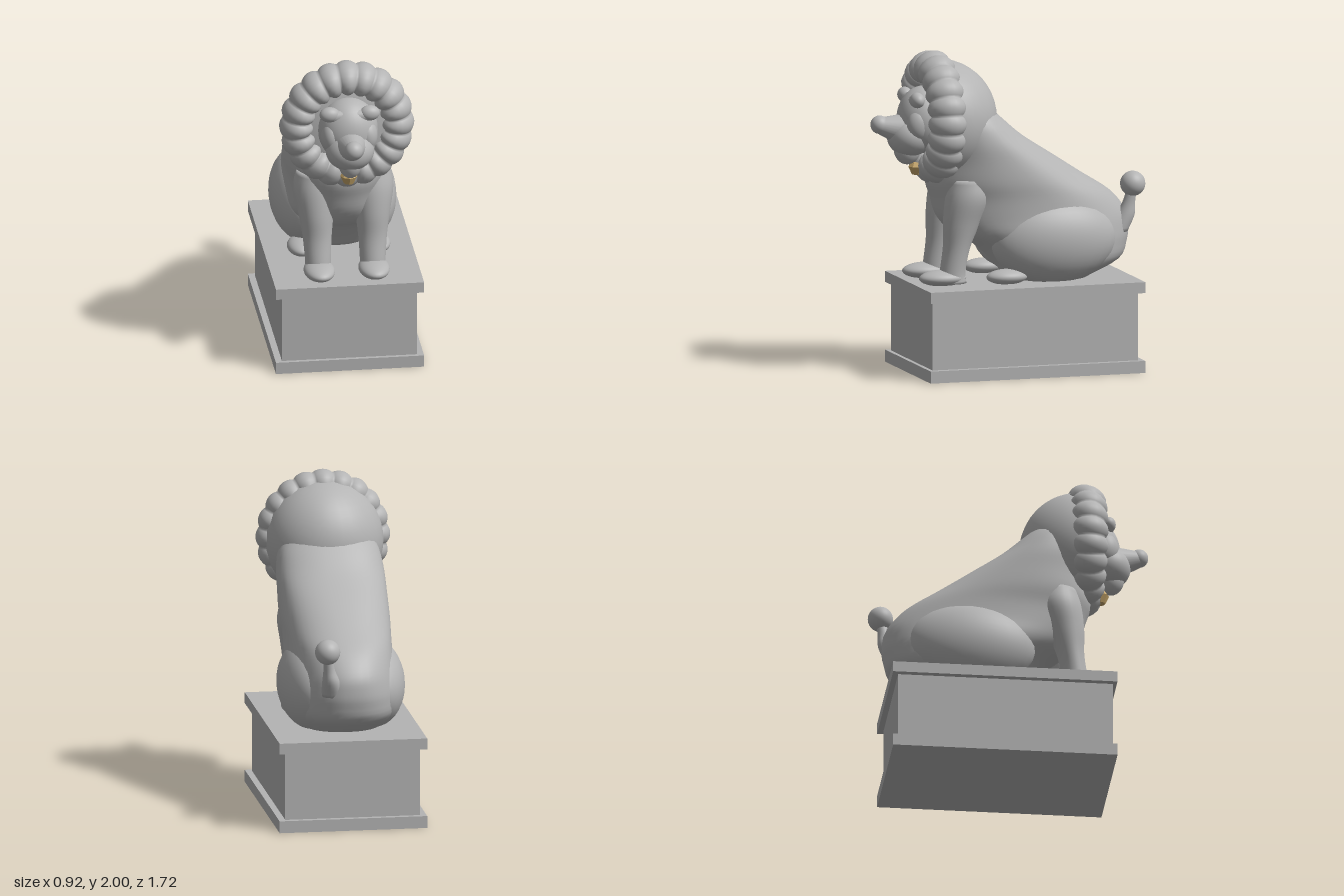
import * as THREE from 'three';

const stone = new THREE.MeshStandardMaterial({ color: 0xb4b4b4 });
stone.name = 'stone grey';
const gold = new THREE.MeshStandardMaterial({ color: 0xc8a86c });
gold.name = 'bell gold';

function add(parent, name, geometry, x = 0, y = 0, z = 0, material = stone) {
  const mesh = new THREE.Mesh(geometry, material);
  mesh.name = name;
  mesh.position.set(x, y, z);
  parent.add(mesh);
  return mesh;
}

const blob = (rx, ry, rz) => new THREE.SphereGeometry(1, 32, 22).scale(rx, ry, rz);

// Smooth closed skin over stacked horizontal sections: [y, centre x, back z, front z, half width]
function loft(sections, power = 2, steps = 40, sides = 48) {
  const outline = new THREE.CatmullRomCurve3(sections.map(s => new THREE.Vector3(s[0], s[2], s[3])), false, 'catmullrom');
  const widths = new THREE.CatmullRomCurve3(sections.map(s => new THREE.Vector3(s[1], s[4], 0)), false, 'catmullrom');
  const bend = v => Math.sign(v) * Math.abs(v) ** (2 / power);
  const pos = [], index = [];
  for (let i = 0; i <= steps; i++) {
    const o = outline.getPoint(i / steps), w = widths.getPoint(i / steps);
    for (let j = 0; j < sides; j++) {
      const a = j / sides * Math.PI * 2;
      pos.push(w.x + w.y * bend(Math.sin(a)), o.x, (o.y + o.z) / 2 + (o.z - o.y) / 2 * bend(Math.cos(a)));
      if (i < steps) {
        const p = i * sides + j, q = i * sides + (j + 1) % sides;
        index.push(p, q, q + sides, p, q + sides, p + sides);
      }
    }
  }
  // Caps
  for (const i of [0, steps]) {
    const o = outline.getPoint(i / steps), w = widths.getPoint(i / steps), c = pos.length / 3;
    pos.push(w.x, o.x, (o.y + o.z) / 2);
    for (let j = 0; j < sides; j++) {
      const p = i * sides + j, q = i * sides + (j + 1) % sides;
      index.push(...(i ? [c, p, q] : [c, q, p]));
    }
  }
  const g = new THREE.BufferGeometry();
  g.setAttribute('position', new THREE.Float32BufferAttribute(pos, 3));
  g.setIndex(index);
  g.computeVertexNormals();
  return g;
}

// Scalloped ring of curls
function ruffGeometry(lobes = 20) {
  const g = new THREE.TorusGeometry(1, 0.3, 20, 240);
  const p = g.attributes.position;
  for (let i = 0; i < p.count; i++) {
    const x = p.getX(i), y = p.getY(i), a = Math.atan2(y, x);
    const lump = 0.84 + 0.2 * Math.abs(Math.sin((a - Math.PI / 2) * lobes / 2 + Math.PI / 2)) ** 0.8;
    const out = (Math.hypot(x, y) - 1) / 0.3 * lump;
    const depth = p.getZ(i) / 0.3 * lump;
    const r = 0.312 + out * 0.098 - depth * 0.012;
    p.setXYZ(i, Math.cos(a) * r * 1.01, Math.sin(a) * r, depth * 0.112);
  }
  g.computeVertexNormals();
  // Match normals where the ring closes on itself
  const n = g.attributes.normal, row = 241;
  const join = (a, b) => {
    const v = new THREE.Vector3().fromBufferAttribute(n, a).add(new THREE.Vector3().fromBufferAttribute(n, b)).normalize();
    n.setXYZ(a, v.x, v.y, v.z);
    n.setXYZ(b, v.x, v.y, v.z);
  };
  for (let j = 0; j <= 20; j++) join(j * row, j * row + 240);
  for (let i = 0; i < row; i++) join(i, 20 * row + i);
  return g;
}

export function createModel() {
  const model = new THREE.Group();
  model.name = 'lionStatue';

  // Plinth
  const plinth = new THREE.Group();
  plinth.name = 'plinth';
  model.add(plinth);
  add(plinth, 'baseSlab', new THREE.BoxGeometry(0.92, 0.075, 1.39), 0, 0.0375, -0.075);
  add(plinth, 'pedestal', new THREE.BoxGeometry(0.84, 0.425, 1.33), 0, 0.2875, -0.07);
  add(plinth, 'topSlab', new THREE.BoxGeometry(0.92, 0.068, 1.39), 0, 0.532, -0.075);

  // Sloping torso and rump
  const lion = new THREE.Group();
  lion.name = 'lion';
  model.add(lion);
  add(lion, 'torso', loft([
    [0.565, 0, -0.52, -0.02, 0.24],
    [0.67, 0, -0.73, 0.07, 0.31],
    [0.78, 0, -0.78, 0.19, 0.33],
    [0.87, 0, -0.79, 0.34, 0.335],
    [0.97, 0, -0.77, 0.43, 0.325],
    [1.09, 0, -0.67, 0.47, 0.325],
    [1.2, 0, -0.5, 0.5, 0.335],
    [1.33, 0, -0.3, 0.48, 0.335],
    [1.46, 0, -0.1, 0.46, 0.33],
    [1.58, 0, 0.04, 0.44, 0.3],
    [1.68, 0, 0.15, 0.42, 0.22],
  ], 2.2));

  // Legs and paws
  for (const s of [1, -1]) {
    const side = s > 0 ? 'left' : 'right';
    add(lion, side + 'Haunch', blob(0.205, 0.275, 0.4), s * 0.187, 0.82, -0.26);
    add(lion, side + 'HindPaw', blob(0.085, 0.048, 0.13), s * 0.235, 0.607, 0.055);
    add(lion, side + 'FrontLeg', loft([
      [0.575, s * 0.17, 0.3, 0.47, 0.08],
      [0.65, s * 0.17, 0.305, 0.465, 0.08],
      [0.8, s * 0.172, 0.275, 0.445, 0.09],
      [0.95, s * 0.175, 0.21, 0.445, 0.11],
      [1.1, s * 0.175, 0.14, 0.43, 0.135],
      [1.22, s * 0.17, 0.15, 0.4, 0.12],
    ], 2, 24, 28));
    add(lion, side + 'FrontPaw', blob(0.096, 0.05, 0.15), s * 0.17, 0.608, 0.45);
  }

  // Tail
  const tail = new THREE.Group();
  tail.name = 'tail';
  lion.add(tail);
  add(tail, 'tailStem', loft([
    [0.84, 0.12, -0.76, -0.62, 0.07],
    [0.94, 0.135, -0.8, -0.68, 0.055],
    [1.02, 0.15, -0.8, -0.72, 0.036],
    [1.12, 0.163, -0.81, -0.75, 0.03],
  ], 2, 14, 20));
  add(tail, 'tailBall', blob(0.078, 0.078, 0.078), 0.163, 1.138, -0.782);

  // Mane: rounded back with a flattened front, ringed by curls
  const head = new THREE.Group();
  head.name = 'head';
  lion.add(head);
  const mane = blob(0.37, 0.375, 0.36);
  const p = mane.attributes.position;
  for (let i = 0; i < p.count; i++) if (p.getZ(i) > 0) p.setZ(i, p.getZ(i) * 0.3);
  mane.computeVertexNormals();
  add(head, 'maneBack', mane, 0, 1.57, 0.42);
  add(head, 'maneRuff', ruffGeometry(), 0, 1.587, 0.465);

  // Face
  add(head, 'skull', blob(0.185, 0.21, 0.17), 0, 1.575, 0.515);
  add(head, 'muzzle', blob(0.15, 0.125, 0.14), 0, 1.475, 0.61);
  const snout = add(head, 'snout', new THREE.CylinderGeometry(0.05, 0.115, 0.2, 28), 0, 1.53, 0.71);
  snout.rotation.x = Math.PI / 2 - 0.2;
  add(head, 'nose', blob(0.057, 0.057, 0.057), 0, 1.555, 0.803);
  add(head, 'chin', blob(0.075, 0.1, 0.085), 0, 1.4, 0.625);
  const brow = add(head, 'brow', new THREE.CapsuleGeometry(0.04, 0.2, 8, 20), 0, 1.7, 0.595);
  brow.rotation.z = Math.PI / 2;
  for (const s of [1, -1]) {
    add(head, s > 0 ? 'leftBrow' : 'rightBrow', blob(0.062, 0.048, 0.045), s * 0.125, 1.715, 0.6);
    add(head, s > 0 ? 'leftCheek' : 'rightCheek', blob(0.065, 0.1, 0.08), s * 0.11, 1.56, 0.58);
  }

  // Bell under the chin
  const bell = new THREE.CylinderGeometry(0.055, 0.032, 0.05, 8).toNonIndexed();
  bell.computeVertexNormals();
  add(head, 'bell', bell, 0, 1.26, 0.562, gold);
  const bellTop = new THREE.CylinderGeometry(0.035, 0.055, 0.028, 8).toNonIndexed();
  bellTop.computeVertexNormals();
  add(head, 'bellTop', bellTop, 0, 1.299, 0.562, gold);
  return model;
}
